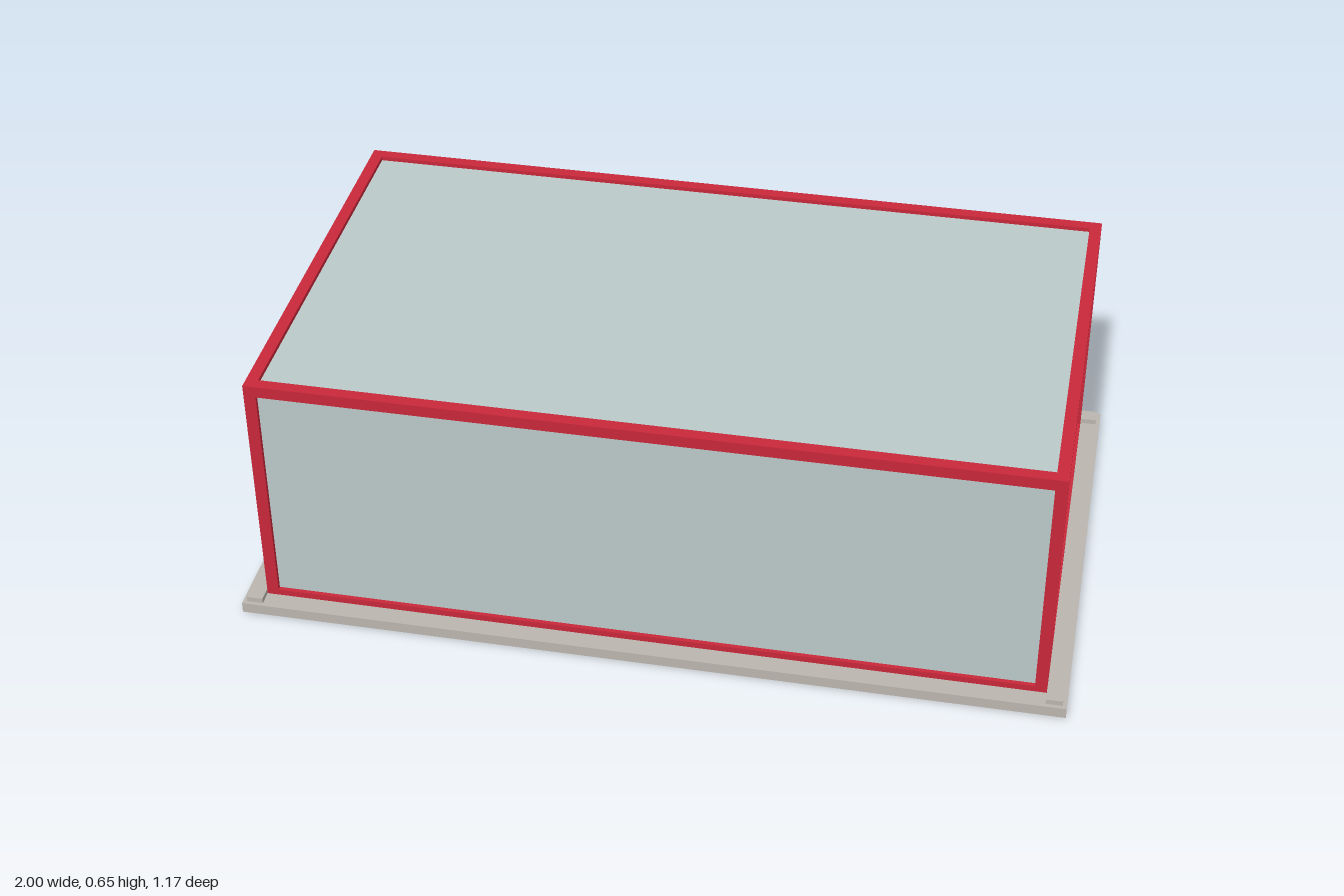
import * as THREE from 'three';

export function createModel() {
  const model = new THREE.Group();
  const material = (name, color) => {
    const m = new THREE.MeshStandardMaterial({ color });
    m.name = name;
    return m;
  };
  const stone = material('warm grey', 0xbab5ad);
  const red = material('frame red', 0xc8283a);
  const glass = material('pale glass', 0xbac9c8);

  // Adds a box given its size and centre
  const box = (name, mat, w, h, d, x, y, z) => {
    const mesh = new THREE.Mesh(new THREE.BoxGeometry(w, h, d), mat);
    mesh.name = name;
    mesh.position.set(x, y, z);
    model.add(mesh);
  };

  const BASE = 0.027, TOP = 0.652, BOTTOM = 0.014; // lower rails sink into the base
  const X = 0.95, Z = 0.538, BAR = 0.029;          // outer half sizes of the frame
  const cx = X - BAR / 2, cz = Z - BAR / 2;
  const lowY = BOTTOM + BAR / 2, highY = TOP - BAR / 2, midY = (lowY + highY) / 2;
  const innerX = 2 * (X - BAR), innerZ = 2 * (Z - BAR), innerY = TOP - BOTTOM - 2 * BAR;

  box('basePlate', stone, 2, BASE, 1.172, 0, BASE / 2, 0);

  // Corner posts and the small blocks beside them on the base
  for (const sx of [-1, 1]) for (const sz of [-1, 1]) {
    box('cornerPost', red, BAR, TOP - BOTTOM, BAR, sx * cx, midY, sz * cz);
    box('cornerBlock', stone, 0.04, 0.013, 0.038, sx * 0.97, BASE + 0.0065, sz * 0.557);
  }

  // Rails along the top and bottom edges
  for (const y of [lowY, highY]) for (const s of [-1, 1]) {
    box('longRail', red, innerX, BAR, BAR, 0, y, s * cz);
    box('shortRail', red, BAR, BAR, innerZ, s * cx, y, 0);
  }

  // Glass panes set into the middle of the bars
  const T = 0.008;
  for (const s of [-1, 1]) {
    box('longPane', glass, innerX, innerY, T, 0, midY, s * cz);
    box('endPane', glass, T, innerY, innerZ, s * cx, midY, 0);
  }
  box('topPane', glass, innerX, T, innerZ, 0, highY, 0);

  return model;
}
